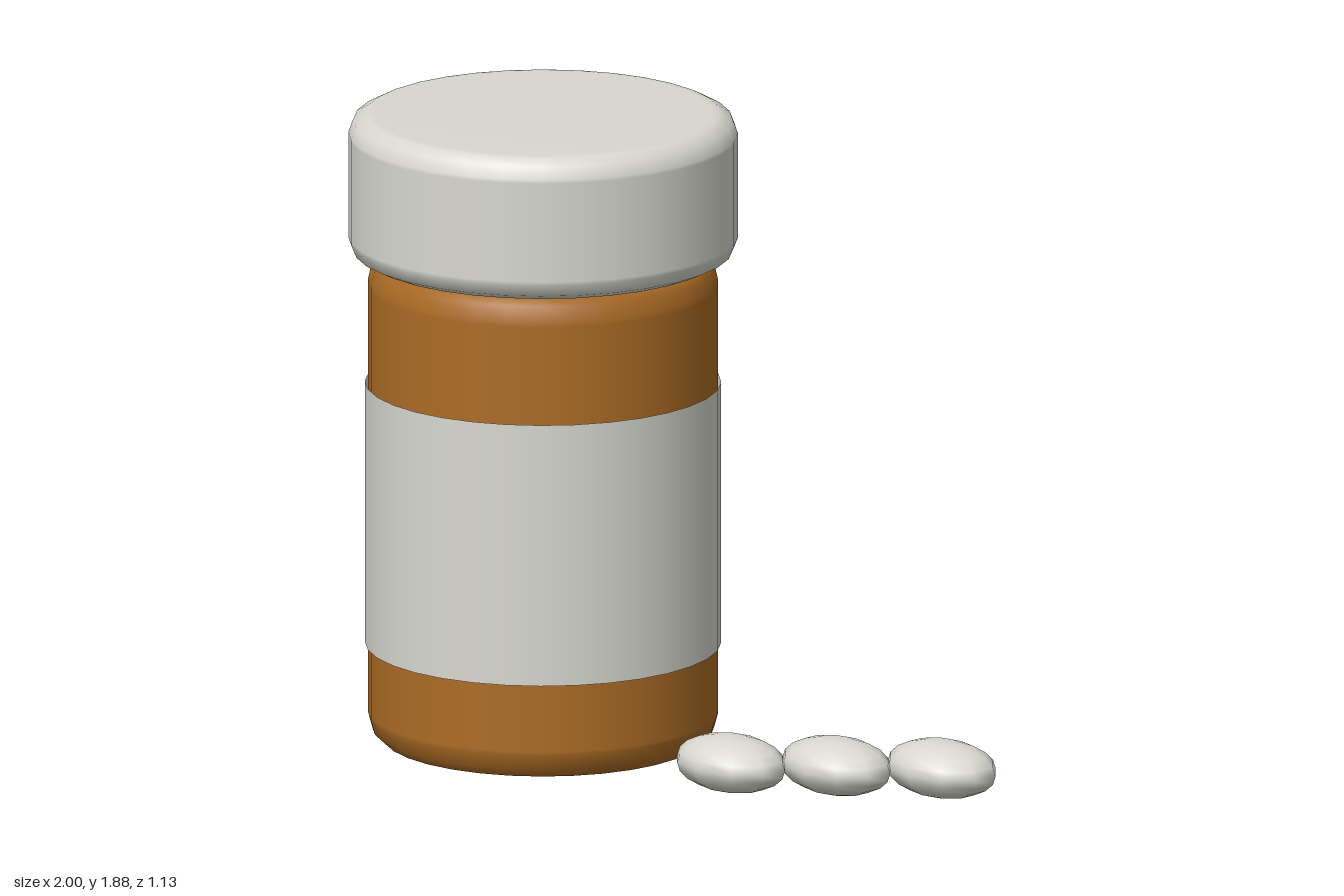
import * as THREE from 'three';

const SEGMENTS = 32;

function material(name, color, side = THREE.FrontSide) {
  const m = new THREE.MeshStandardMaterial({ color, side });
  m.name = name;
  return m;
}

// Turned solid from [radius, height] pairs, listed bottom to top
function turned(name, profile, mat) {
  const points = profile.map(([r, y]) => new THREE.Vector2(r, y));
  const mesh = new THREE.Mesh(new THREE.LatheGeometry(points, SEGMENTS), mat);
  mesh.name = name;
  return mesh;
}

export function createModel() {
  const white = material('off white', 0xd8d8d0, THREE.DoubleSide);
  const amber = material('amber', 0xac6c25);

  const model = new THREE.Group();
  model.name = 'pillBottleWithPills';

  const bottle = new THREE.Group();
  bottle.name = 'bottle';
  bottle.position.x = -0.435;
  model.add(bottle);

  // Amber container with softened rims
  bottle.add(turned('container', [
    [0, 0.01], [0.42, 0.01], [0.465, 0.017], [0.495, 0.045], [0.507, 0.09], [0.507, 0.1],
    [0.507, 1.37], [0.507, 1.385], [0.497, 1.43], [0.478, 1.455], [0, 1.455],
  ], amber));

  // Wide closed cap
  bottle.add(turned('cap', [
    [0, 1.455], [0.49, 1.455], [0.515, 1.458], [0.55, 1.475], [0.564, 1.51], [0.564, 1.52],
    [0.564, 1.815], [0.564, 1.825], [0.55, 1.862], [0.515, 1.88], [0.49, 1.882], [0, 1.882],
  ], white));

  // Thin label wrapped all the way round
  const label = new THREE.Mesh(
    new THREE.CylinderGeometry(0.516, 0.516, 0.78, SEGMENTS, 1, true), white);
  label.name = 'label';
  label.position.y = 0.69;
  bottle.add(label);

  // Row of flattened oval pills running away to the back
  const pillShape = new THREE.SphereGeometry(1, 10, 10);
  pillShape.rotateY(Math.PI / 2);
  pillShape.scale(0.19, 0.0825, 0.135);
  for (let i = 0; i < 3; i++) {
    const pill = new THREE.Mesh(pillShape, white);
    pill.name = `pill${i + 1}`;
    pill.position.set(0.346 + i * 0.235, 0.0825, -i * 0.197);
    model.add(pill);
  }

  return model;
}
